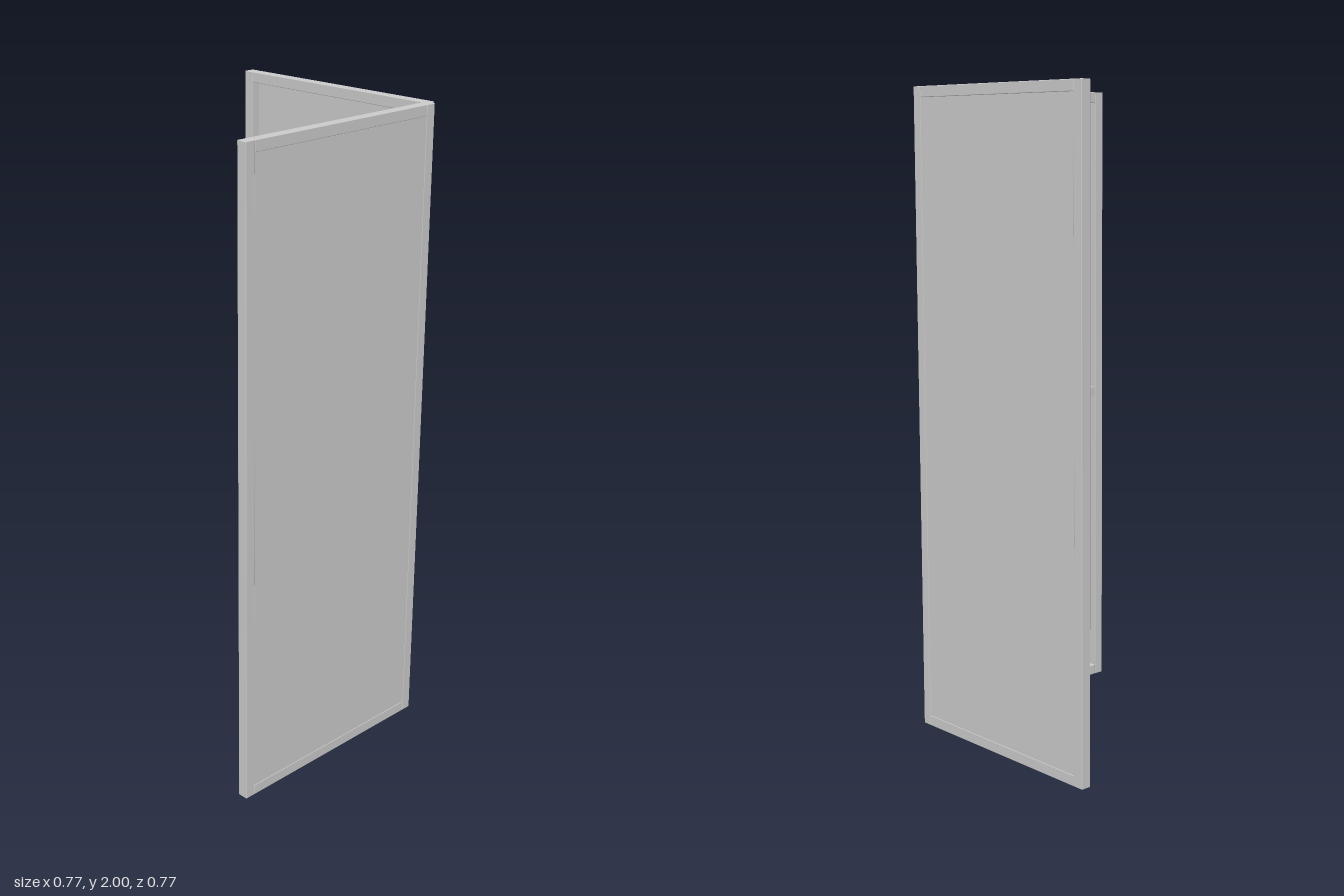
import * as THREE from 'three';
import { RoundedBoxGeometry } from 'three/addons/geometries/RoundedBoxGeometry.js';

const H = 2, W = 0.748, T = 0.033; // panel height, panel width, bar thickness
const mat = new THREE.MeshStandardMaterial({ color: 0xcccccc });

function add(parent, name, geometry, x, y, z) {
  const mesh = new THREE.Mesh(geometry, mat);
  mesh.name = name;
  mesh.position.set(x, y, z);
  parent.add(mesh);
  return mesh;
}

// One framed panel, centred on x, with its outer face towards +z
function createPanel(name) {
  const panel = new THREE.Group();
  panel.name = name;
  const inner = W - 2 * T;

  // Full-height stiles
  for (const side of [-1, 1]) {
    add(panel, 'stile', new RoundedBoxGeometry(T, H, T, 2, 0.002), side * (W - T) / 2, H / 2, 0);
  }
  // Top and bottom rails
  for (const y of [T / 2, H - T / 2]) {
    add(panel, 'rail', new RoundedBoxGeometry(inner, T, T, 2, 0.002), 0, y, 0);
  }
  // Middle rail, sitting behind the sheet
  add(panel, 'middleRail', new THREE.BoxGeometry(inner, T, T - 0.005), 0, H / 2, -0.0025);
  // Thin sheet, almost flush with the outer face
  add(panel, 'sheet', new THREE.BoxGeometry(inner, H - 2 * T, 0.004), 0, H / 2, T / 2 - 0.003);
  return panel;
}

export function createModel() {
  const model = new THREE.Group();
  model.name = 'foldingScreen';

  // Two panels meeting at a right angle
  const front = createPanel('frontPanel');
  front.position.set(-0.009, 0, 0.3665);
  const side = createPanel('sidePanel');
  side.rotation.y = Math.PI / 2;
  side.position.set(0.3665, 0, -0.009);
  model.add(front, side);

  // Hinges in the outer corner: a knuckle and two short leaves
  for (const y of [0.295, 1.71]) {
    const hinge = new THREE.Group();
    hinge.name = 'hinge';
    hinge.position.set(0.368, y, 0.368);
    add(hinge, 'knuckle', new THREE.CylinderGeometry(0.004, 0.004, 0.06, 12), 0, 0, 0);
    add(hinge, 'frontLeaf', new THREE.BoxGeometry(0.002, 0.06, 0.01), -0.002, 0, 0.003);
    add(hinge, 'sideLeaf', new THREE.BoxGeometry(0.01, 0.06, 0.002), 0.003, 0, -0.002);
    model.add(hinge);
  }
  return model;
}
